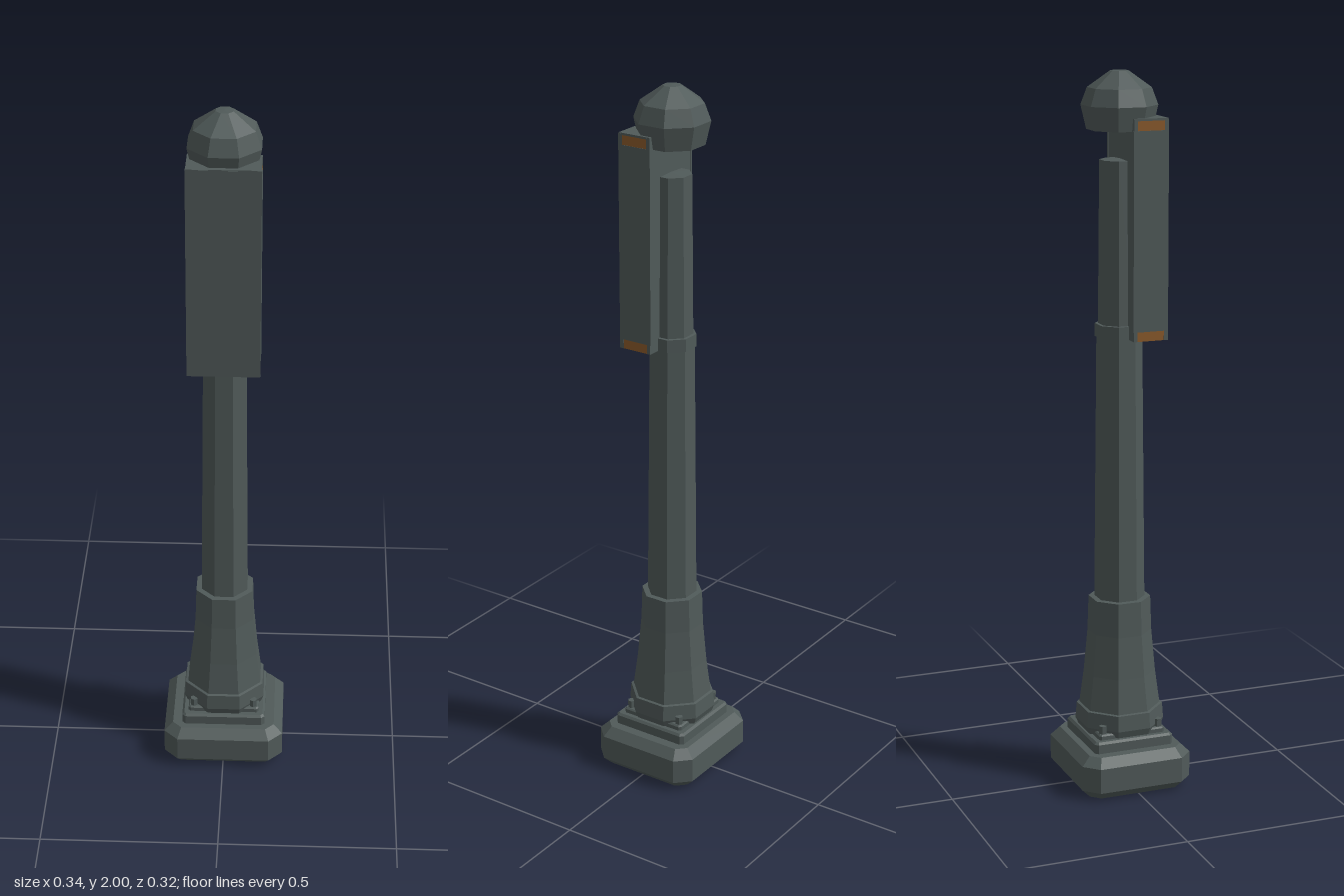
import * as THREE from 'three';

export function createModel() {
  const model = new THREE.Group();
  const slate = new THREE.MeshStandardMaterial({ name: 'slate metal', color: 0x505a59, flatShading: true });
  const amber = new THREE.MeshStandardMaterial({ name: 'amber trim', color: 0x8a5a2b, flatShading: true });

  const add = (name, geometry, material, x = 0, y = 0, z = 0) => {
    const mesh = new THREE.Mesh(geometry, material);
    mesh.name = name;
    mesh.position.set(x, y, z);
    model.add(mesh);
    return mesh;
  };

  // Eight-sided turned part, flats facing the axes; points are [flat radius, height]
  const octagon = (name, points) => {
    const profile = points.map(([r, y]) => new THREE.Vector2(r / Math.cos(Math.PI / 8), y));
    return add(name, new THREE.LatheGeometry(profile, 8, Math.PI / 8), slate);
  };

  // Block whose corners and rims are cut off at an angle
  const bevelBlock = (name, hx, hz, y0, y1, cut, x = 0, z = 0) => {
    const a = hx - cut, b = hz - cut;
    const outline = [[-hx + cut * 2, -b], [a - cut, -b], [a, -b + cut], [a, b - cut],
      [a - cut, b], [-a + cut, b], [-a, b - cut], [-a, -b + cut]];
    outline[0] = [-a + cut, -b];
    const shape = new THREE.Shape(outline.map(([u, v]) => new THREE.Vector2(u, v)));
    const geometry = new THREE.ExtrudeGeometry(shape, {
      depth: y1 - y0 - 2 * cut, bevelEnabled: true, bevelSize: cut, bevelThickness: cut, bevelSegments: 1,
    });
    geometry.rotateX(-Math.PI / 2);
    return add(name, geometry, slate, x, y0 + cut, z);
  };

  // Foot and stepped plinth
  bevelBlock('foot', 0.172, 0.161, 0, 0.121, 0.025);
  bevelBlock('plinth', 0.12, 0.117, 0.115, 0.153, 0.006);
  bevelBlock('upperPlinth', 0.102, 0.098, 0.145, 0.168, 0.004);

  // Anchor bolts on the plinth corners
  for (const x of [-1, 1]) {
    for (const z of [-1, 1]) {
      add('anchorBolt', new THREE.CylinderGeometry(0.011, 0.011, 0.024, 6), slate, x * 0.086, 0.178, z * 0.083);
    }
  }

  // Flared pedestal and tapering post
  octagon('pedestal', [[0, 0.155], [0.108, 0.155], [0.115, 0.175], [0.112, 0.22], [0.105, 0.222],
    [0.093, 0.32], [0.083, 0.44], [0.08, 0.538], [0, 0.542]]);
  octagon('post', [[0.065, 0.53], [0.058, 1.285]]);
  octagon('collar', [[0, 1.278], [0.062, 1.28], [0.062, 1.316], [0, 1.32]]);
  octagon('upperPost', [[0.054, 1.31], [0.05, 1.762], [0, 1.764]]);

  // Cabinet with a full-height front panel and trimmed ends
  add('cabinet', new THREE.BoxGeometry(0.19, 0.54, 0.094), slate, 0, 1.576, 0.051);
  add('frontPanel', new THREE.BoxGeometry(0.196, 0.596, 0.012), slate, 0, 1.578, 0.097);
  add('backPanel', new THREE.BoxGeometry(0.196, 0.596, 0.01), slate, 0, 1.578, 0.009);
  for (const x of [-1, 1]) {
    add('sidePanel', new THREE.BoxGeometry(0.006, 0.54, 0.1), slate, x * 0.095, 1.576, 0.053);
  }
  add('topTrim', new THREE.BoxGeometry(0.194, 0.026, 0.08), amber, 0, 1.859, 0.053);
  add('cabinetLid', new THREE.BoxGeometry(0.194, 0.006, 0.098), slate, 0, 1.875, 0.053);
  add('bottomTrim', new THREE.BoxGeometry(0.194, 0.026, 0.08), amber, 0, 1.293, 0.053);

  // Faceted finial
  octagon('finial', [[0, 1.843], [0.082, 1.843], [0.096, 1.908], [0.08, 1.954], [0.023, 1.998], [0, 2]]);

  return model;
}
